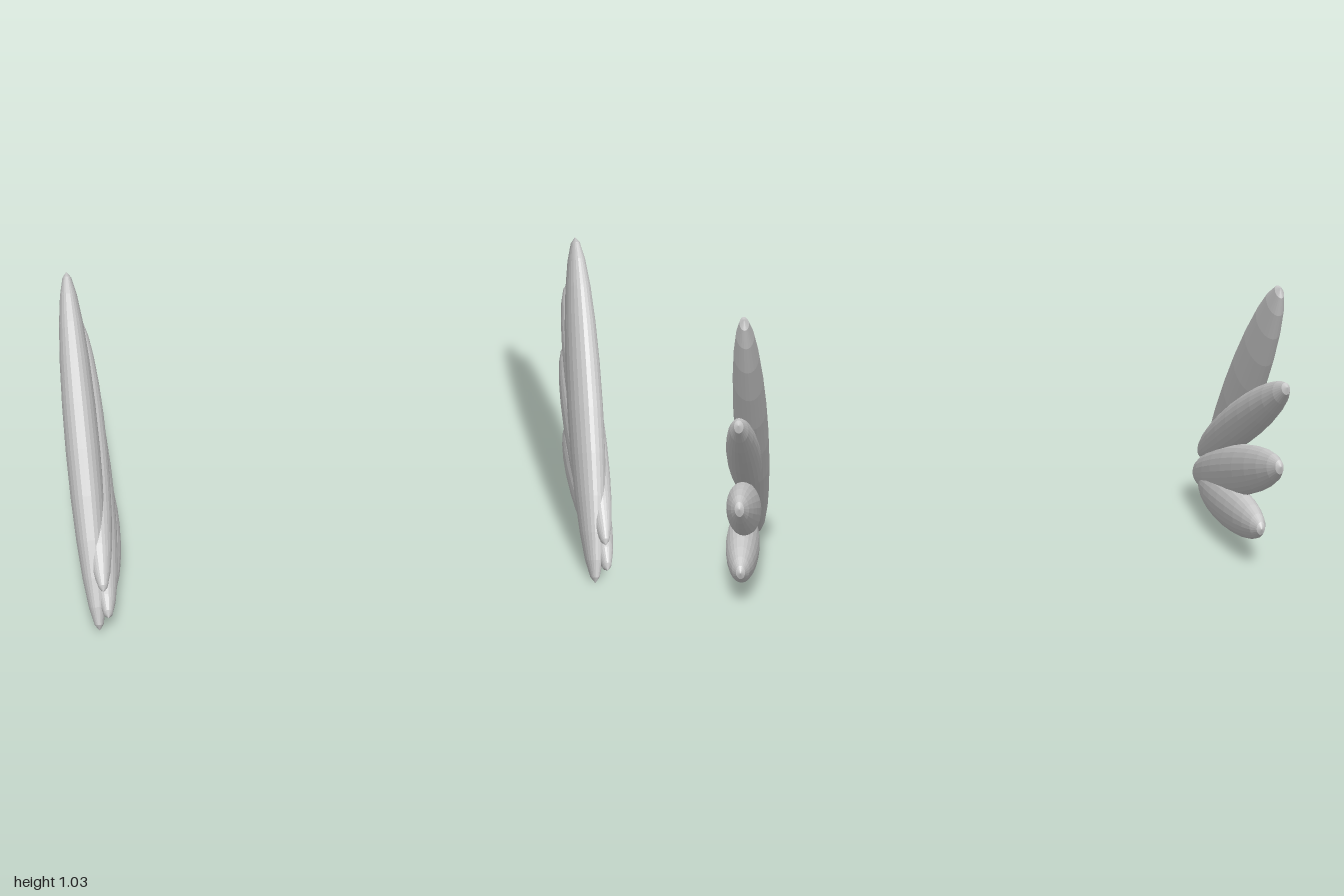
import * as THREE from 'three';

const material = new THREE.MeshStandardMaterial({ color: 0xcccccc, flatShading: true });

// Feathers in the wing's side plane: base and tip as [z, y], half width, sideways offset
const FEATHERS = [
  { name: 'topFeather', base: [0.46, 0.0], tip: [-0.32, 1.0], width: 0.115, offset: 0 },
  { name: 'upperFeather', base: [0.455, 0.168], tip: [-0.5, 0.69], width: 0.084, offset: 0.026 },
  { name: 'lowerFeather', base: [0.485, 0.075], tip: [-0.497, 0.403], width: 0.097, offset: 0.035 },
  { name: 'bottomFeather', base: [0.36, 0.078], tip: [-0.357, 0.126], width: 0.092, offset: 0.045 },
];
const THICKNESS = 0.06;

// A stretched sphere whose poles sit at the base and tip
function makeFeather({ name, base, tip, width, offset }, slope) {
  const a = new THREE.Vector3(offset - slope * base[0], base[1], base[0]);
  const b = new THREE.Vector3(offset - slope * tip[0], tip[1], tip[0]);
  const axis = b.clone().sub(a);
  const half = axis.length() / 2;
  axis.normalize();
  const across = new THREE.Vector3(1, 0, 0).cross(axis).normalize();
  const side = axis.clone().cross(across);

  const geometry = new THREE.SphereGeometry(1, 24, 12);
  geometry.scale(THICKNESS, half, width);
  const feather = new THREE.Mesh(geometry, material);
  feather.name = name;
  feather.quaternion.setFromRotationMatrix(new THREE.Matrix4().makeBasis(side, axis, across));
  feather.position.copy(a).add(b).multiplyScalar(0.5);
  return feather;
}

// A fan of four feathers; slope leans the tips sideways towards +x
function makeWing(name, slope, x, y, z) {
  const wing = new THREE.Group();
  wing.name = name;
  for (const f of FEATHERS) wing.add(makeFeather(f, slope));
  wing.position.set(x, y, z);
  return wing;
}

export function createModel() {
  const model = new THREE.Group();
  model.name = 'wings';
  model.add(makeWing('leftWing', 0.075, 0.893, 0.006, 0));
  model.add(makeWing('rightWing', -0.005, -0.937, 0.037, 0.012));
  return model;
}
